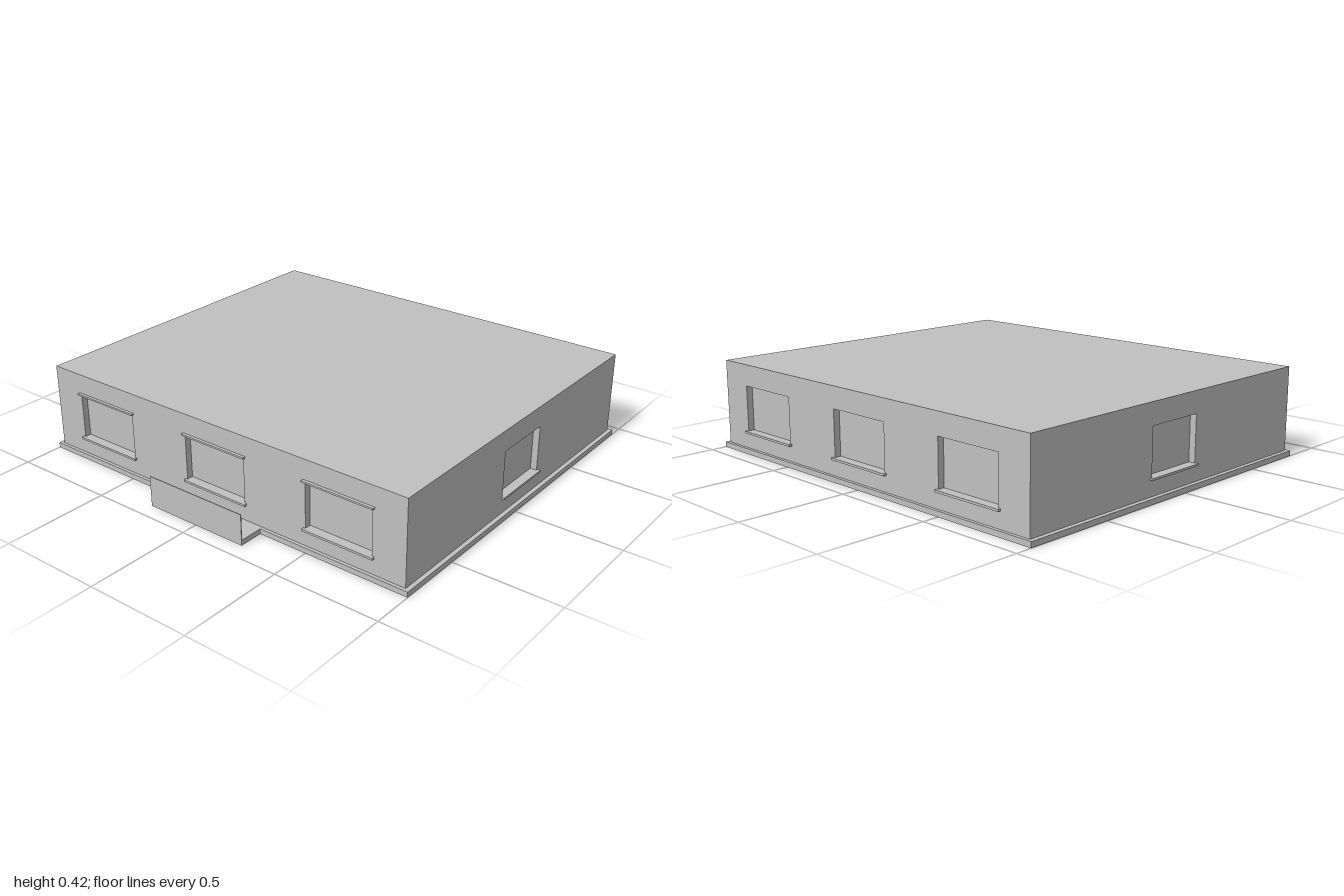
import * as THREE from 'three';

const DEPTH = 0.03;                 // window recess
const BASE = 0.025, TOP = 0.42;     // wall bottom and top
const BACK = -0.91, FRONT = 0.795;  // wall faces along z
const HALF_W = 0.98;
const MID_Z = (BACK + FRONT) / 2, HALF_D = (FRONT - BACK) / 2;
const SILL = 0.107, HEAD = 0.32;    // window opening bottom and top

export function createModel() {
  const model = new THREE.Group();
  model.name = 'building';
  const grey = new THREE.MeshStandardMaterial({ color: 0xc0c0c0 });
  grey.name = 'plain grey';

  // Box given by its extents on each axis
  function box(parent, name, x0, x1, y0, y1, z0, z1) {
    const mesh = new THREE.Mesh(new THREE.BoxGeometry(x1 - x0, y1 - y0, z1 - z0), grey);
    mesh.position.set((x0 + x1) / 2, (y0 + y1) / 2, (z0 + z1) / 2);
    mesh.name = name;
    parent.add(mesh);
  }

  // Wall facing local +z, its outer face at z = 0, with window openings
  function wall(name, halfLength, windowCentres, windowHalf, hasLintels) {
    const group = new THREE.Group();
    group.name = name;
    const shape = new THREE.Shape([
      new THREE.Vector2(-halfLength, BASE), new THREE.Vector2(halfLength, BASE),
      new THREE.Vector2(halfLength, TOP), new THREE.Vector2(-halfLength, TOP),
    ]);
    for (const c of windowCentres) {
      shape.holes.push(new THREE.Path([
        new THREE.Vector2(c - windowHalf, SILL), new THREE.Vector2(c - windowHalf, HEAD),
        new THREE.Vector2(c + windowHalf, HEAD), new THREE.Vector2(c + windowHalf, SILL),
      ]));
      const w = windowHalf + 0.01;
      box(group, 'windowSill', c - w, c + w, SILL - 0.01, SILL, -0.005, 0.014);
      if (hasLintels) box(group, 'windowLintel', c - w, c + w, HEAD, HEAD + 0.008, -0.005, 0.014);
    }
    const panel = new THREE.Mesh(
      new THREE.ExtrudeGeometry(shape, { depth: DEPTH, bevelEnabled: false }), grey);
    panel.position.z = -DEPTH;
    panel.name = 'wallPanel';
    group.add(panel);
    model.add(group);
    return group;
  }

  // Inner block: flat roof and window panes
  box(model, 'core', -HALF_W + DEPTH, HALF_W - DEPTH, BASE, TOP, BACK + DEPTH, FRONT - DEPTH);

  // Front and back walls, three windows each
  const centres = [-0.655, 0, 0.655];
  wall('frontWall', HALF_W, centres, 0.165, true).position.z = FRONT;
  const back = wall('backWall', HALF_W, centres, 0.165, false);
  back.position.z = BACK;
  back.rotation.y = Math.PI;

  // Side walls, one window each
  for (const side of [-1, 1]) {
    const sideWall = wall(side > 0 ? 'leftWall' : 'rightWall', HALF_D - DEPTH, [0], 0.145, false);
    sideWall.position.set(side * HALF_W, 0, MID_Z);
    sideWall.rotation.y = side * Math.PI / 2;
  }

  // Plinth, porch slab and its thin front screen
  box(model, 'plinth', -1, 1, 0, BASE, -0.925, 0.81);
  box(model, 'porchSlab', -0.26, 0.26, 0, BASE, 0.81, 0.921);
  box(model, 'porchScreen', -0.26, 0.26, 0, 0.145, 0.921, 0.925);

  return model;
}
